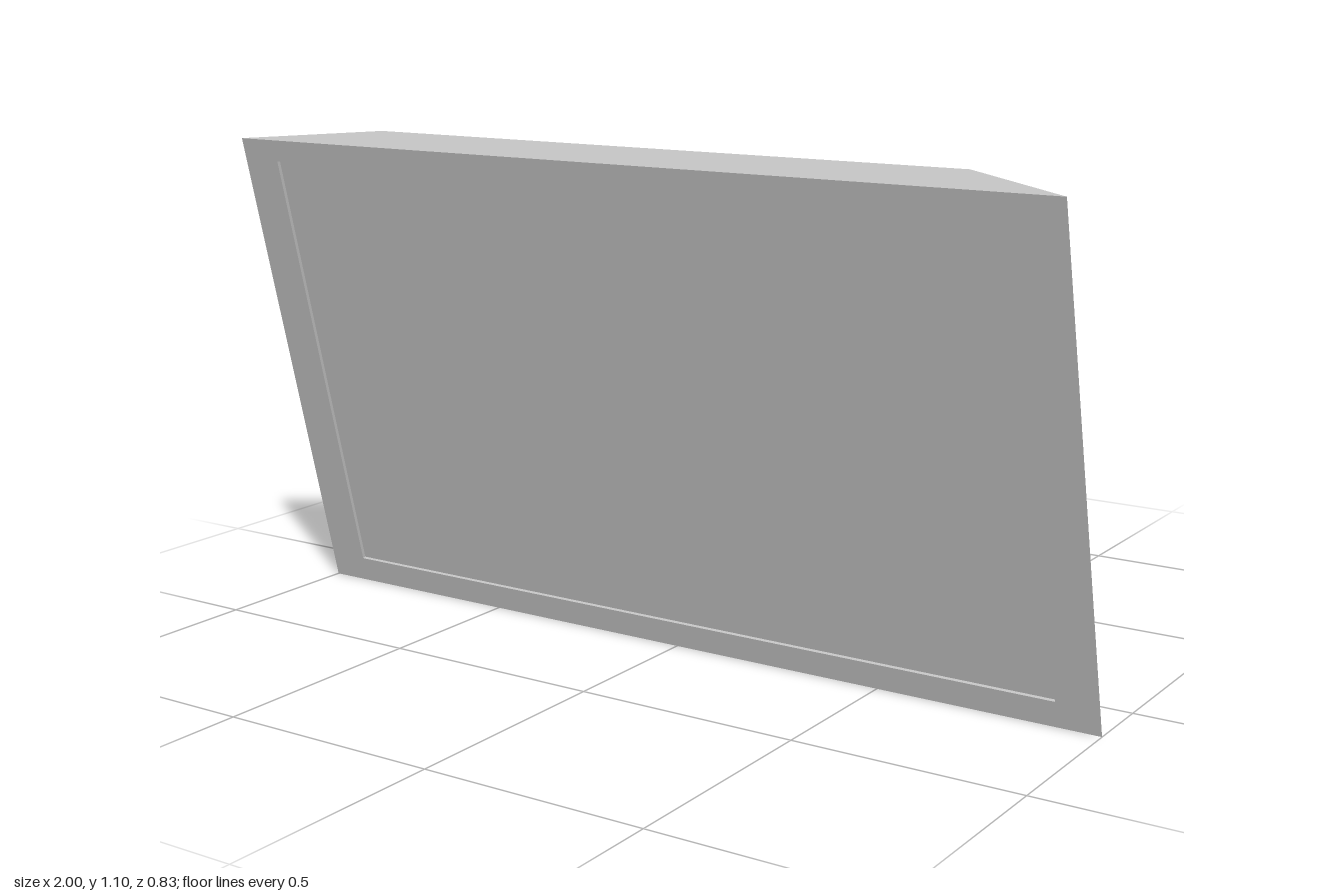
import * as THREE from 'three';

const grey = new THREE.MeshStandardMaterial({ color: 0xc4c4c4 });
grey.name = 'light grey';

function addMesh(parent, name, geometry) {
  const mesh = new THREE.Mesh(geometry, grey);
  mesh.name = name;
  parent.add(mesh);
  return mesh;
}

// Flat-shaded faces from quads given counter-clockwise
function quadGeometry(quads) {
  const pos = [];
  for (const [a, b, c, d] of quads) for (const p of [a, b, c, a, c, d]) pos.push(...p);
  const g = new THREE.BufferGeometry();
  g.setAttribute('position', new THREE.Float32BufferAttribute(pos, 3));
  g.computeVertexNormals();
  return g;
}

// Walls between two four-cornered rings, outward when the first ring is in front
const walls = (front, back) => front.map((p, i) => {
  const j = (i + 1) % 4;
  return [p, back[i], back[j], front[j]];
});

// Smooth band with rounded side edges; stations are [inner z, inner y, outer z, outer y]
const SECTION = [[0.268, 1], [0.28, 0.5], [0.28, -0.5], [0.268, -1],
  [-0.268, -1], [-0.28, -0.5], [-0.28, 0.5], [-0.268, 1]];
function bandGeometry(stations) {
  const pos = [], index = [], n = SECTION.length;
  stations.forEach(([iz, iy, oz, oy], s) => {
    SECTION.forEach(([x, t], k) => {
      const f = (t + 1) / 2;
      pos.push(x, oy + (iy - oy) * f, oz + (iz - oz) * f);
      if (s === stations.length - 1) return;
      const a = s * n + k, b = s * n + (k + 1) % n;
      index.push(a, b, b + n, a, b + n, a + n);
    });
  });
  const g = new THREE.BufferGeometry();
  g.setAttribute('position', new THREE.Float32BufferAttribute(pos, 3));
  g.setIndex(index);
  g.computeVertexNormals();
  return g;
}

export function createModel() {
  const model = new THREE.Group();
  model.name = 'wallScreen';

  // Point on the leaning front face: v runs from bottom to top, d goes inwards
  const face = (x, v, d = 0) => [x, 1.083 * v + 0.229 * d, 0.155 + 0.257 * v - 0.973 * d];
  const ring = (x, v0, v1, d) =>
    [face(-x, v0, d), face(x, v0, d), face(x, v1, d), face(-x, v1, d)];

  // Casing tapering towards the back
  const front = ring(1, 0, 1);
  const back = [[-0.73, 0.065, 0], [0.73, 0.065, 0], [0.73, 1.1, 0.247], [-0.73, 1.1, 0.247]];
  addMesh(model, 'casing', quadGeometry([...walls(front, back), [...back].reverse()]));

  // Front frame around a shallow recess
  const lip = ring(0.905, 0.053, 0.956);
  const floor = ring(0.905, 0.053, 0.956, 0.008);
  const frame = front.map((p, i) => {
    const j = (i + 1) % 4;
    return [p, front[j], lip[j], lip[i]];
  });
  const recess = walls(lip, floor).map((q) => q.reverse());
  addMesh(model, 'frontFrame', quadGeometry([...frame, ...recess]));
  addMesh(model, 'screen', quadGeometry([floor]));

  // Raised back panel and the mounting pad of the stand
  const lean = new THREE.Group();
  lean.name = 'backPanel';
  lean.position.set(0, 0.5925, 0.0815);
  lean.rotation.x = 0.2362;
  model.add(lean);
  addMesh(lean, 'backPlate', new THREE.BoxGeometry(1.33, 1.013, 0.06)).position.z = 0.03;
  addMesh(lean, 'mountPad', new THREE.BoxGeometry(0.57, 0.2, 0.004)).position.set(0, -0.28, -0.001);

  // Bent stand with a bevelled end
  const end = [-0.33, 0.85, -0.405, 0.85];
  addMesh(model, 'standArm', bandGeometry([
    [0.05, 0.327, 0.05, 0.286],
    [-0.13, 0.327, -0.13, 0.288],
    [-0.23, 0.333, -0.23, 0.292],
    [-0.285, 0.345, -0.285, 0.296],
    [-0.305, 0.395, -0.35, 0.31],
    [-0.323, 0.455, -0.388, 0.43],
    [-0.33, 0.53, -0.384, 0.53],
    end,
  ]));
  addMesh(model, 'standTip', bandGeometry([end, [-0.412, 1.01, -0.415, 1.013]]));

  return model;
}
